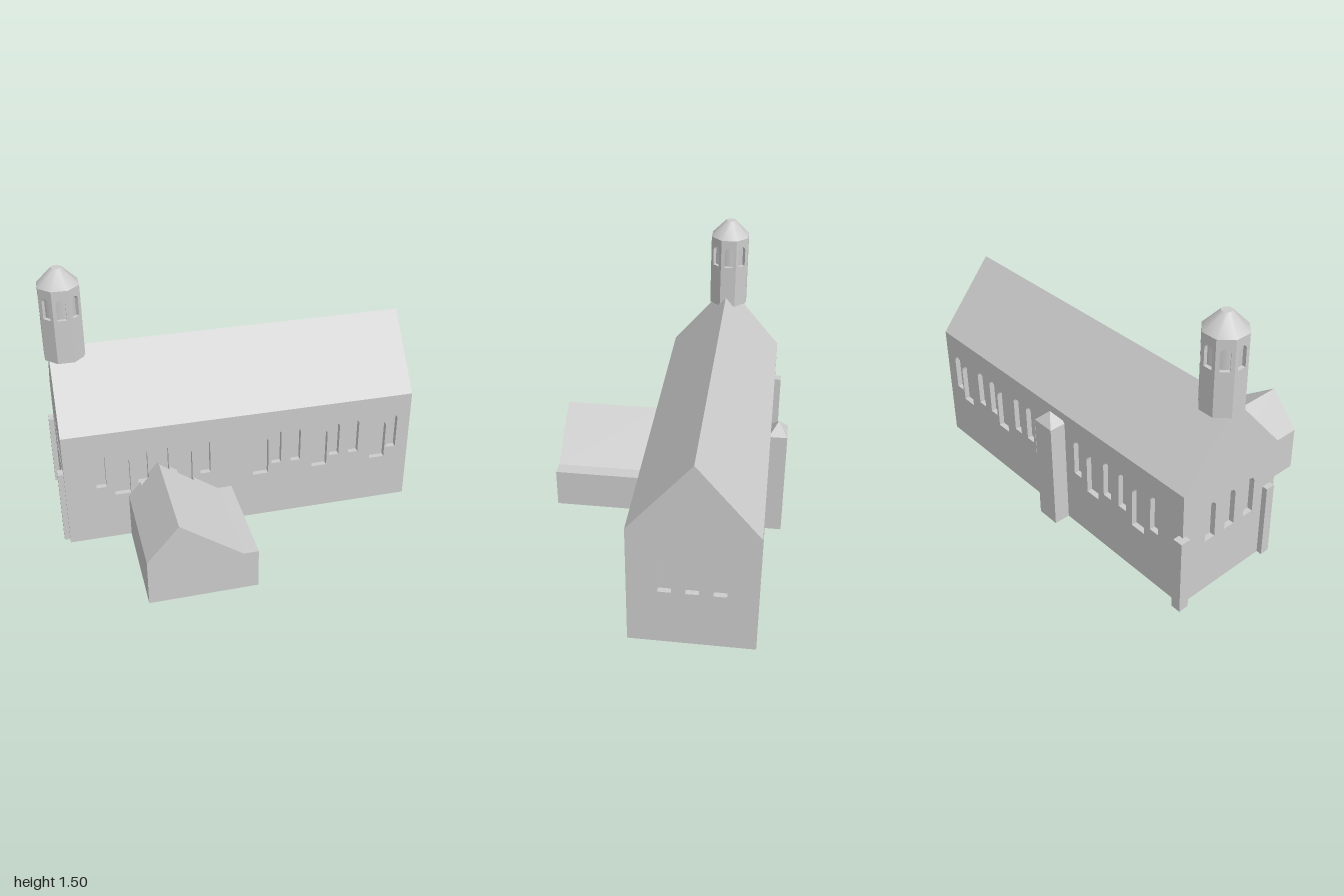
import * as THREE from 'three';

const stone = new THREE.MeshStandardMaterial({ color: 0xcccccc });
stone.name = 'pale stone';

function mesh(name, geometry, x = 0, y = 0, z = 0) {
  const m = new THREE.Mesh(geometry, stone);
  m.name = name;
  m.position.set(x, y, z);
  return m;
}

function polygon(points) {
  return new THREE.Shape(points.map(([x, y]) => new THREE.Vector2(x, y)));
}

function extrude(shape, depth) {
  return new THREE.ExtrudeGeometry(shape, { depth, bevelEnabled: false, curveSegments: 8 });
}

// Box given by its minimum and maximum corners
function box(name, [x0, y0, z0], [x1, y1, z1]) {
  return mesh(name, new THREE.BoxGeometry(x1 - x0, y1 - y0, z1 - z0),
    (x0 + x1) / 2, (y0 + y1) / 2, (z0 + z1) / 2);
}

// Round-headed window opening
function arch(cx, width, bottom, top) {
  const r = width / 2, p = new THREE.Path();
  p.moveTo(cx - r, bottom);
  p.lineTo(cx + r, bottom);
  p.lineTo(cx + r, top - r);
  p.absarc(cx, top - r, r, 0, Math.PI, false);
  p.lineTo(cx - r, bottom);
  return p;
}

// Rectangular wall slab pierced by windows
function wall(x0, x1, y0, y1, depth, windows) {
  const s = polygon([[x0, y0], [x1, y0], [x1, y1], [x0, y1]]);
  s.holes = windows.map(w => arch(...w));
  return extrude(s, depth);
}

export function createModel() {
  const model = new THREE.Group();
  model.name = 'church';
  const X0 = -0.97, X1 = 1, Z0 = -0.57, Z1 = 0.07, EAVE = 0.68, RIDGE = 1.06, D = 0.03;

  // Nave: solid core behind pierced wall slabs
  const nave = new THREE.Group();
  nave.name = 'nave';
  model.add(nave);
  nave.add(box('naveCore', [X0 + D, 0, Z0 + D], [X1 - D, EAVE, Z1 - D]));

  const narrow = [-0.775, -0.545, -0.43, -0.197, 0.21, 0.322, 0.552, 0.667, 0.897];
  const wide = [-0.66, -0.315, 0.12, 0.465, 0.815];
  const sideWindows = [
    ...narrow.map(x => [x, 0.056, 0.34, 0.553]),
    ...wide.map(x => [x, 0.088, 0.28, 0.525]),
  ];
  const sideWall = wall(X0, X1, 0, EAVE, D, sideWindows);
  nave.add(mesh('frontWall', sideWall, 0, 0, Z1 - D));
  const backWall = mesh('backWall', wall(-X1, -X0, 0, EAVE, D,
    sideWindows.map(([x, ...rest]) => [-x, ...rest])), 0, 0, Z0 + D);
  backWall.rotation.y = Math.PI;
  nave.add(backWall);

  // End walls, centred on the ridge line
  const endWall = wall(-0.29, 0.29, 0, EAVE, D, [-0.135, 0, 0.135].map(x => [x, 0.066, 0.318, 0.54]));
  for (const side of [1, -1]) {
    const m = mesh(side > 0 ? 'leftEndWall' : 'rightEndWall', endWall, side > 0 ? X1 - D : X0 + D, 0, -0.25);
    m.rotation.y = side * Math.PI / 2;
    // keep the middle window aligned on both ends
    nave.add(m);
  }

  // Gabled roof
  const roof = mesh('naveRoof', extrude(polygon([[-0.32, EAVE], [0.32, EAVE], [0, RIDGE]]), X1 - X0), X0, 0, -0.25);
  roof.rotation.y = Math.PI / 2;
  nave.add(roof);

  // Porch with an uneven gable, notched where it meets the nave windows
  const porch = new THREE.Group();
  porch.name = 'porch';
  model.add(porch);
  const porchEnd = [[-0.13, 0.225], [-0.05, 0.225], [-0.05, 0], [-0.63, 0], [-0.63, 0.26]];
  porch.add(mesh('porchBody', extrude(polygon([...porchEnd, [-0.46, 0.46]]), 0.56), 0, 0, 0.1));
  const notched = [
    ...porchEnd,
    [-0.562, 0.34], [-0.517, 0.34], [-0.517, 0.393],
    [-0.46, 0.46], [-0.458, 0.458], [-0.458, 0.34], [-0.402, 0.34], [-0.402, 0.419],
    [-0.359, 0.388], [-0.359, 0.28], [-0.271, 0.28], [-0.271, 0.325],
  ];
  porch.add(mesh('porchJoint', extrude(polygon(notched), 0.04), 0, 0, 0.06));

  // Buttress with a pyramid cap on the back wall
  model.add(box('backButtress', [-0.1, 0, -0.66], [0.032, 0.62, -0.56]));
  const cap = new THREE.ConeGeometry(Math.SQRT1_2, 1, 4, 1).toNonIndexed();
  cap.rotateY(Math.PI / 4).scale(0.132, 0.065, 0.1);
  cap.computeVertexNormals();
  model.add(mesh('buttressCap', cap, -0.034, 0.6525, -0.61));

  // Pilasters on the right end
  model.add(box('backPilaster', [-1, 0, -0.607], [-0.945, 0.435, -0.55]));
  model.add(box('frontPilaster', [-1, 0, -0.015], [-0.945, 0.435, 0.038]));

  // Octagonal bell tower
  const tower = new THREE.Group();
  tower.name = 'bellTower';
  tower.position.set(-0.884, 0, -0.259);
  model.add(tower);
  const apothem = 0.106, recess = 0.02, y0 = 1.005, y1 = 1.415;
  const half = apothem * Math.tan(Math.PI / 8), turn = Math.PI / 8;
  const octagon = (rTop, rBottom, h) =>
    new THREE.CylinderGeometry(rTop, rBottom, h, 8).rotateY(turn);
  const coreR = (apothem - recess) / Math.cos(turn);
  tower.add(mesh('towerCore', octagon(coreR, coreR, y1 - y0), 0, (y0 + y1) / 2, 0));
  const face = wall(-half, half, y0, y1, recess, [[0, 0.048, 1.25, 1.368]]);
  face.translate(0, 0, apothem - recess);
  for (let i = 0; i < 8; i++) {
    const m = mesh('towerWall', face);
    m.rotation.y = i * Math.PI / 4;
    tower.add(m);
  }
  tower.add(mesh('towerRoof', octagon(0.028, apothem / Math.cos(turn), 0.09), 0, y1 + 0.045, 0));

  return model;
}
